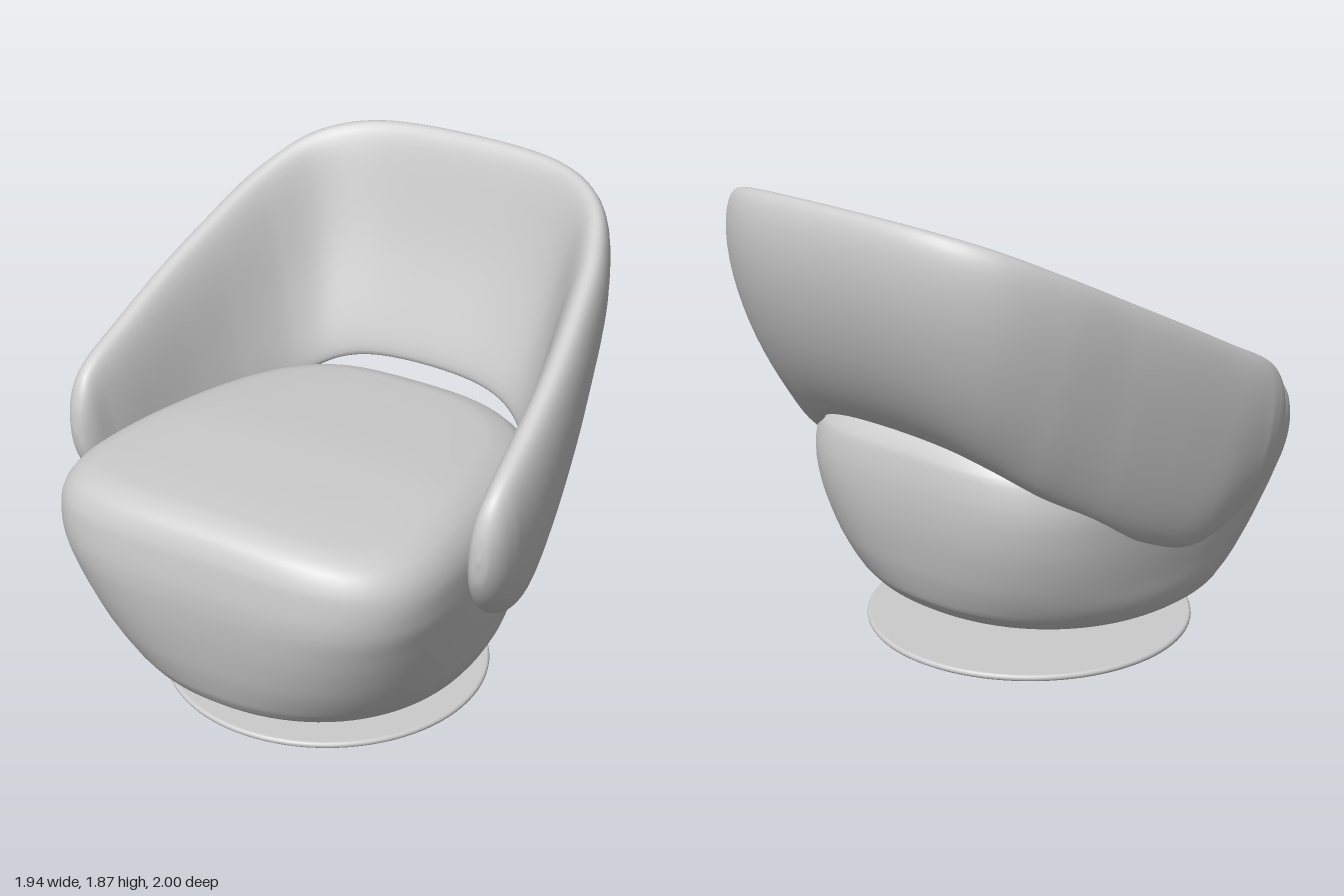
import * as THREE from 'three';
import { mergeVertices } from 'three/addons/utils/BufferGeometryUtils.js';

const { lerp, smoothstep } = THREE.MathUtils;

// Skin a list of closed rings (equal point counts) into a smooth surface
function loft(rings) {
  const m = rings[0].length, index = [];
  for (let i = 0; i < rings.length - 1; i++) {
    for (let j = 0; j < m; j++) {
      const a = i * m + j, b = i * m + (j + 1) % m;
      index.push(a, a + m, b, b, a + m, b + m);
    }
  }
  let geo = new THREE.BufferGeometry().setFromPoints(rings.flat());
  geo.setIndex(index);
  geo = mergeVertices(geo, 1e-5);
  geo.computeVertexNormals();
  return geo;
}

// Point on a unit superellipse of power n
function superellipse(angle, n) {
  const c = Math.cos(angle), s = Math.sin(angle);
  const r = (Math.abs(c) ** n + Math.abs(s) ** n) ** (-1 / n);
  return [c * r, s * r];
}

const curveOf = (rows) => new THREE.CatmullRomCurve3(rows.map((r) => new THREE.Vector3(...r)));

// Cushion: round at the bottom, a soft tapered square at the top, crowned and sloping to the back
function seatGeometry() {
  // height, half width, power, back z, front z, taper
  const rows = [
    [0.185, 0.001, 2.2, 0.19, 0.191, 0],
    [0.185, 0.55, 2.2, -0.38, 0.76, 0],
    [0.2, 0.655, 2.2, -0.465, 0.845, 0],
    [0.26, 0.7, 2.3, -0.52, 0.89, 0],
    [0.4, 0.735, 2.7, -0.575, 0.94, 0.03],
    [0.6, 0.768, 3.2, -0.62, 0.985, 0.07],
    [0.75, 0.78, 3.5, -0.63, 1, 0.11],
    [0.87, 0.763, 3.6, -0.615, 0.985, 0.15],
    [0.935, 0.715, 3.6, -0.57, 0.95, 0.2],
    [0.97, 0.65, 3.6, -0.5, 0.89, 0.24],
    [0.985, 0.55, 3.5, -0.4, 0.79, 0.25],
    [0.99, 0.3, 3, -0.13, 0.5, 0.25],
    [0.99, 0.001, 2.5, 0.19, 0.191, 0.25],
  ];
  const shape = curveOf(rows.map((r) => r.slice(0, 3)));
  const depth = curveOf(rows.map((r) => r.slice(3)));
  const rings = [], steps = 72, sides = 96;
  for (let i = 0; i <= steps; i++) {
    const { x: y, y: width, z: power } = shape.getPoint(i / steps);
    const { x: back, y: front, z: taper } = depth.getPoint(i / steps);
    const upper = smoothstep(y, 0.7, 0.99);
    rings.push(Array.from({ length: sides }, (_, j) => {
      const [c, s] = superellipse((j / sides) * Math.PI * 2, power);
      const z = (back + front) / 2 + s * (front - back) / 2;
      const x = c * width * (1 + taper * (z - 0.19));
      const lift = 0.05 * (1 - (x / 0.8) ** 2) - 0.05 * smoothstep(-z, -0.35, 0.5);
      return new THREE.Vector3(x, y + upper * lift, z);
    }));
  }
  return loft(rings);
}

// Wraparound shell: padded sections spanning a top edge and a bottom edge
function shellGeometry() {
  const mirrored = (half) => curveOf([...half, ...half.slice(0, -1).reverse().map(([x, y, z]) => [-x, y, z])]);
  const top = mirrored([
    [0.892, 0.93, 0.51], [0.897, 1.04, 0.495], [0.9, 1.13, 0.455], [0.9, 1.19, 0.39],
    [0.887, 1.288, 0.2], [0.863, 1.417, -0.05], [0.82, 1.545, -0.3], [0.75, 1.69, -0.58],
    [0.635, 1.795, -0.785], [0.44, 1.85, -0.9], [0, 1.87, -0.94],
  ]);
  const bottom = mirrored([
    [0.892, 0.93, 0.51], [0.882, 0.82, 0.49], [0.86, 0.7, 0.42], [0.83, 0.59, 0.3],
    [0.79, 0.51, 0.1], [0.735, 0.565, -0.1], [0.665, 0.685, -0.3], [0.55, 0.825, -0.5],
    [0.43, 0.91, -0.59], [0.28, 0.96, -0.63], [0, 0.98, -0.645],
  ]);
  const middle = (u) => top.getPoint(u).add(bottom.getPoint(u)).multiplyScalar(0.5);
  const rings = [], steps = 200, sides = 48;
  for (let i = 0; i <= steps; i++) {
    const u = i / steps;
    const t = middle(Math.min(1, u + 0.004)).sub(middle(Math.max(0, u - 0.004)));
    const outward = new THREE.Vector3(-t.z, 0, t.x).normalize();
    const halfSpan = top.getPoint(u).sub(bottom.getPoint(u)).multiplyScalar(0.5);
    // Padding rounds off the arm tips and swells along the arms; the back bows most
    const backness = Math.abs(outward.z);
    const k = Math.min(1, halfSpan.lengthSq() / 0.09);
    const padding = lerp(0.076 + 0.024 * smoothstep(halfSpan.length(), 0.25, 0.42), 0.086, backness);
    const thickness = padding * Math.sqrt(1 - (1 - k) ** 2);
    const bow = k * lerp(0.008, 0.07, backness);
    rings.push(Array.from({ length: sides }, (_, j) => {
      const [c, s] = superellipse((-j / sides) * Math.PI * 2, 2.3);
      const offset = bow * (1 - c * c) + thickness * s;
      return middle(u).addScaledVector(halfSpan, c).addScaledVector(outward, offset);
    }));
  }
  return loft(rings);
}

export function createModel() {
  const model = new THREE.Group();
  const grey = new THREE.MeshStandardMaterial({ color: 0xcccccc });
  grey.name = 'grey';
  const add = (name, geometry, y = 0, z = 0) => {
    const mesh = new THREE.Mesh(geometry, grey);
    mesh.name = name;
    mesh.position.set(0, y, z);
    model.add(mesh);
  };

  add('seat', seatGeometry());
  add('backAndArms', shellGeometry());

  // Swivel stand: column on a thin disc with a rounded rim
  add('column', new THREE.CylinderGeometry(0.09, 0.09, 0.18, 48), 0.11, 0.098);
  const rim = Array.from({ length: 9 }, (_, i) => {
    const a = -Math.PI / 2 + (i / 8) * Math.PI;
    return new THREE.Vector2(0.632 + 0.013 * Math.cos(a), 0.013 + 0.013 * Math.sin(a));
  });
  const discProfile = [new THREE.Vector2(0, 0), ...rim, new THREE.Vector2(0, 0.026)];
  add('basePlate', new THREE.LatheGeometry(discProfile, 96), 0, 0.098);

  return model;
}
